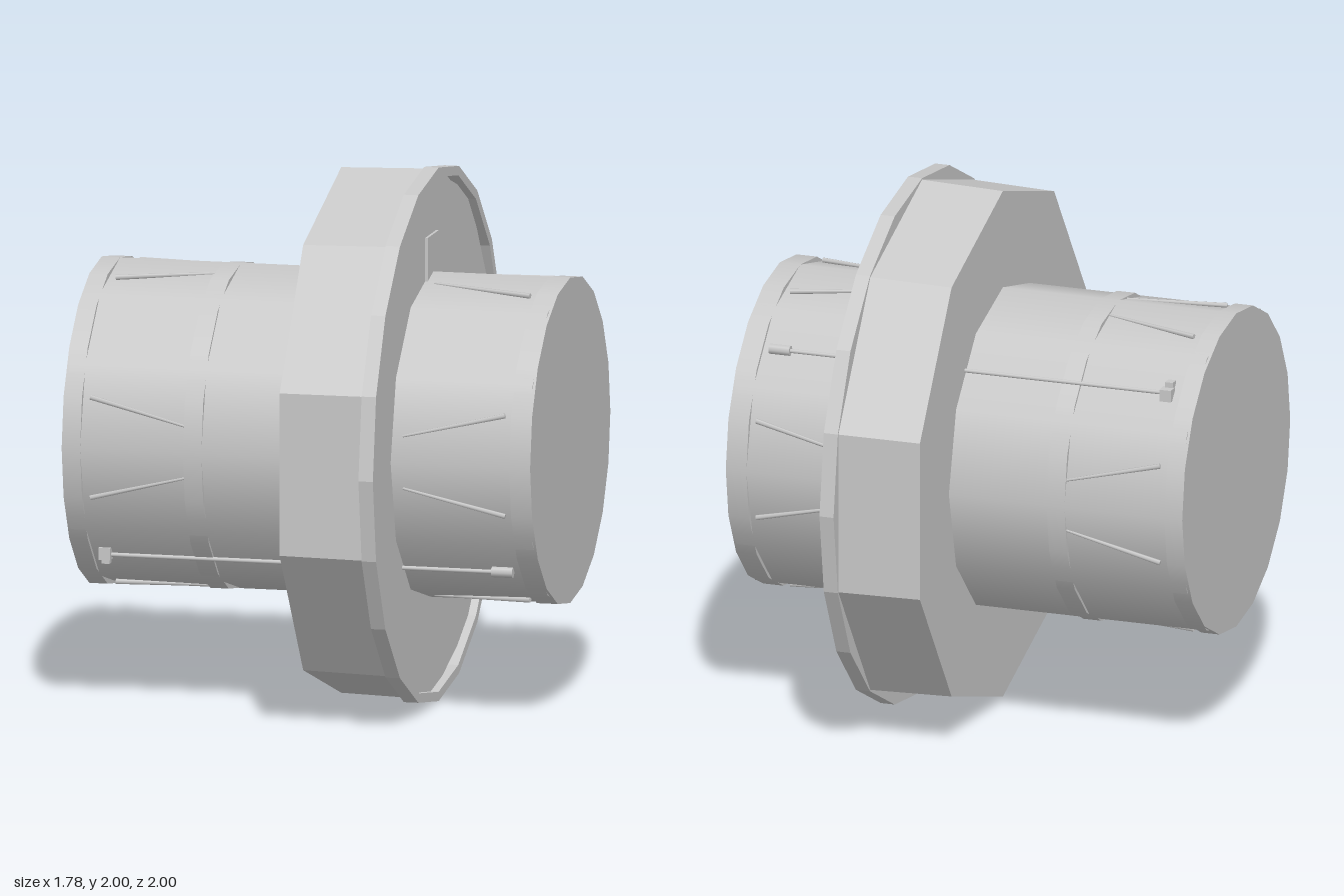
import * as THREE from 'three';

export function createModel() {
  const model = new THREE.Group();
  const axle = new THREE.Group(); // everything is arranged around the x axis
  axle.name = 'hubAssembly';
  axle.position.y = 1;
  model.add(axle);
  const grey = new THREE.MeshStandardMaterial({ color: 0xc8c8c8 });
  grey.name = 'light grey';

  function add(name, geometry, parent = axle) {
    const mesh = new THREE.Mesh(geometry, grey);
    mesh.name = name;
    parent.add(mesh);
    return mesh;
  }
  function faceted(geometry) {
    const g = geometry.toNonIndexed();
    g.computeVertexNormals();
    return g;
  }
  // Prism lying along x, with a corner at the top
  function drum(x0, x1, r0, r1, sides) {
    return new THREE.CylinderGeometry(r1, r0, x1 - x0, sides, 1, false, Math.PI / 2)
      .rotateZ(-Math.PI / 2).translate((x0 + x1) / 2, 0, 0);
  }
  // Point on the barrel, angle measured from the front towards the top
  const onBarrel = (x, r, a) => new THREE.Vector3(x, r * Math.sin(a), r * Math.cos(a));

  // Barrel with finer rounded bands peeking out of its facets
  add('barrel', drum(-0.88, 0.88, 0.61, 0.61, 12));
  add('leftEndBand', drum(0.81, 0.89, 0.61, 0.61, 20));
  add('rightEndBand', drum(-0.89, -0.82, 0.61, 0.61, 20));
  add('middleBand', drum(-0.43, -0.36, 0.608, 0.608, 20));

  // Ten sided collar, slightly flared towards the flange
  add('collar', faceted(drum(0.02, 0.36, 0.99, 1.0, 10)).scale(1, 0.995, 0.995));

  // Flange with a raised rim
  const rim = [[0.9, 0.335], [1, 0.335], [1, 0.39], [0.965, 0.39], [0.965, 0.345], [0, 0.345]]
    .map(([r, x]) => new THREE.Vector2(r, x));
  add('flange', faceted(new THREE.LatheGeometry(rim, 20).rotateZ(-Math.PI / 2)));
  add('flangePad', new THREE.BoxGeometry(0.02, 0.17, 0.17).translate(0.36, 0.665, 0));

  // Pairs of slanted struts on four sides of both barrel ends
  const deg = Math.PI / 180;
  for (let side = 0; side < 4; side++) {
    for (const s of [-1, 1]) {
      for (const [inner, outer] of [[-0.43, -0.79], [0.4, 0.785]]) {
        const a = onBarrel(inner, 0.592, (side * 90 + s * 9.5) * deg);
        const b = onBarrel(outer, 0.6, (side * 90 + s * 18.3) * deg);
        const strut = add('strut', new THREE.CylinderGeometry(0.01, 0.005, a.distanceTo(b), 6));
        strut.position.copy(a).lerp(b, 0.5);
        strut.quaternion.setFromUnitVectors(new THREE.Vector3(0, 1, 0), b.sub(a).normalize());
      }
    }
  }

  // Two long rods with end fittings, lower front and upper back
  for (const turn of [0, Math.PI]) {
    const rod = new THREE.Group();
    rod.name = 'rodAssembly';
    rod.rotation.x = turn;
    axle.add(rod);
    const place = (name, geometry, x, y, z) => add(name, geometry, rod).position.set(x, y, z);
    place('rod', drum(-0.76, 0.72, 0.008, 0.008, 8), 0, -0.425, 0.428);
    place('rodSleeve', drum(0.7, 0.78, 0.02, 0.02, 8), 0, -0.425, 0.428);
    place('rodHead', new THREE.BoxGeometry(0.045, 0.045, 0.045), -0.768, -0.42, 0.428);
    place('rodHook', new THREE.BoxGeometry(0.03, 0.035, 0.035), -0.772, -0.445, 0.4);
  }
  return model;
}
